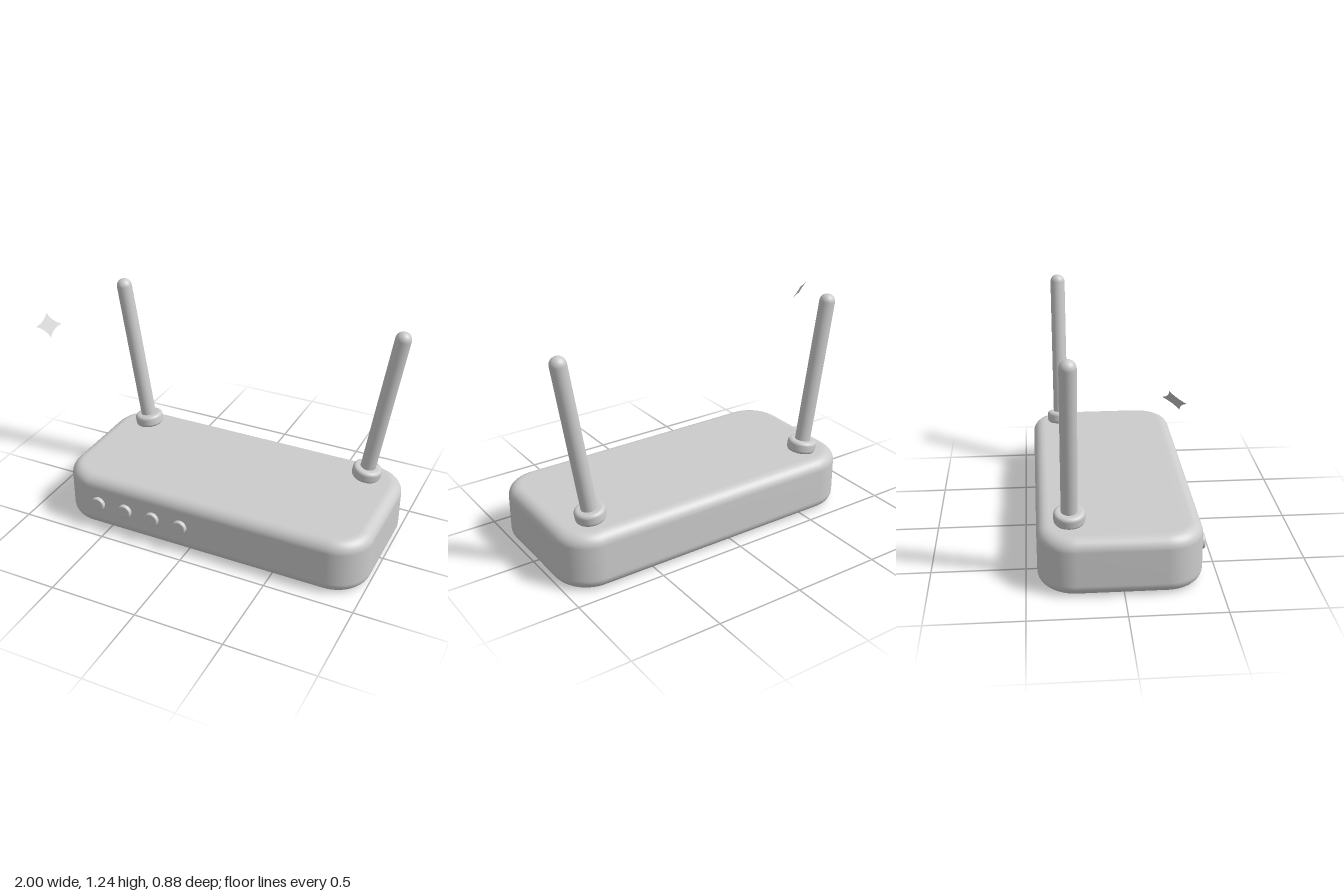
import * as THREE from 'three';
import { mergeVertices } from 'three/addons/utils/BufferGeometryUtils.js';

const CX = 0.092; // middle of the case in x

// Rounded rectangle outline centred on the origin
function roundedRect(w, d, r) {
  const x = w / 2 - r, y = d / 2 - r, s = new THREE.Shape();
  s.absarc(x, y, r, 0, Math.PI / 2);
  s.absarc(-x, y, r, Math.PI / 2, Math.PI);
  s.absarc(-x, -y, r, Math.PI, Math.PI * 1.5);
  s.absarc(x, -y, r, Math.PI * 1.5, Math.PI * 2);
  s.closePath();
  return s;
}

// Disc standing on y = 0 with filleted rims
function roundedDisc(r, h, f) {
  const pts = [new THREE.Vector2(0, 0), new THREE.Vector2(r - f - 0.001, 0)];
  for (const [cy, start] of [[f, -Math.PI / 2], [h - f, 0]]) {
    for (let i = 0; i <= 6; i++) {
      const a = start + (i / 6) * (Math.PI / 2);
      pts.push(new THREE.Vector2(r - f + f * Math.cos(a), cy + f * Math.sin(a)));
    }
  }
  pts.push(new THREE.Vector2(r - f - 0.001, h), new THREE.Vector2(0, h));
  return new THREE.LatheGeometry(pts, 40);
}

export function createModel() {
  const model = new THREE.Group();
  model.name = 'router';
  const grey = new THREE.MeshStandardMaterial({ color: 0xcccccc, side: THREE.DoubleSide });
  grey.name = 'light grey';

  const add = (parent, name, geometry) => {
    const mesh = new THREE.Mesh(geometry, grey);
    mesh.name = name;
    parent.add(mesh);
    return mesh;
  };

  // Case: rounded slab with filleted top and bottom edges
  const b = 0.065;
  let body = new THREE.ExtrudeGeometry(roundedRect(1.813 - 2 * b, 0.86 - 2 * b, 0.2 - b), {
    depth: 0.32 - 2 * b, bevelEnabled: true, bevelSize: b, bevelThickness: b,
    bevelSegments: 8, curveSegments: 14,
  });
  body.deleteAttribute('uv');
  body.deleteAttribute('normal');
  body = mergeVertices(body, 1e-5);
  body.computeVertexNormals();
  body.rotateX(-Math.PI / 2);
  add(model, 'case', body).position.set(CX, b, -0.01);

  // Antennas: collar and round-ended rod, leaning outwards
  for (const side of [-1, 1]) {
    const antenna = new THREE.Group();
    antenna.name = side > 0 ? 'leftAntenna' : 'rightAntenna';
    add(antenna, 'collar', roundedDisc(0.082, 0.07, 0.02)).position.y = 0.003;
    const r = 0.0435, bottom = 0.05, top = 0.89;
    add(antenna, 'rod', new THREE.CapsuleGeometry(r, top - bottom, 10, 32))
      .position.y = (top + bottom) / 2;
    antenna.position.set(CX + side * 0.692, 0.32, -0.269);
    antenna.rotation.z = -side * 0.157;
    model.add(antenna);
  }

  // Row of round buttons on the front
  for (let i = 0; i < 4; i++) {
    const button = add(model, 'button' + (i + 1), roundedDisc(0.041, 0.04, 0.008));
    button.rotation.x = Math.PI / 2;
    button.position.set(-0.558 + i * 0.173, 0.162, 0.402);
  }

  // Floating four-pointed sparkle, a flat plate facing diagonally
  const R = 0.0715, k = 0.28 * R, star = new THREE.Shape();
  star.moveTo(R, 0);
  star.quadraticCurveTo(k, k, 0, R);
  star.quadraticCurveTo(-k, k, -R, 0);
  star.quadraticCurveTo(-k, -k, 0, -R);
  star.quadraticCurveTo(k, -k, R, 0);
  const sparkle = add(model, 'sparkle', new THREE.ShapeGeometry(star, 8));
  sparkle.quaternion.setFromRotationMatrix(new THREE.Matrix4().makeBasis(
    new THREE.Vector3(1, 0, -1).normalize(),
    new THREE.Vector3(-1, 2, -1).normalize(),
    new THREE.Vector3(1, 1, 1).normalize(),
  ));
  sparkle.position.set(-0.948, 1.104, 0.207);

  return model;
}
